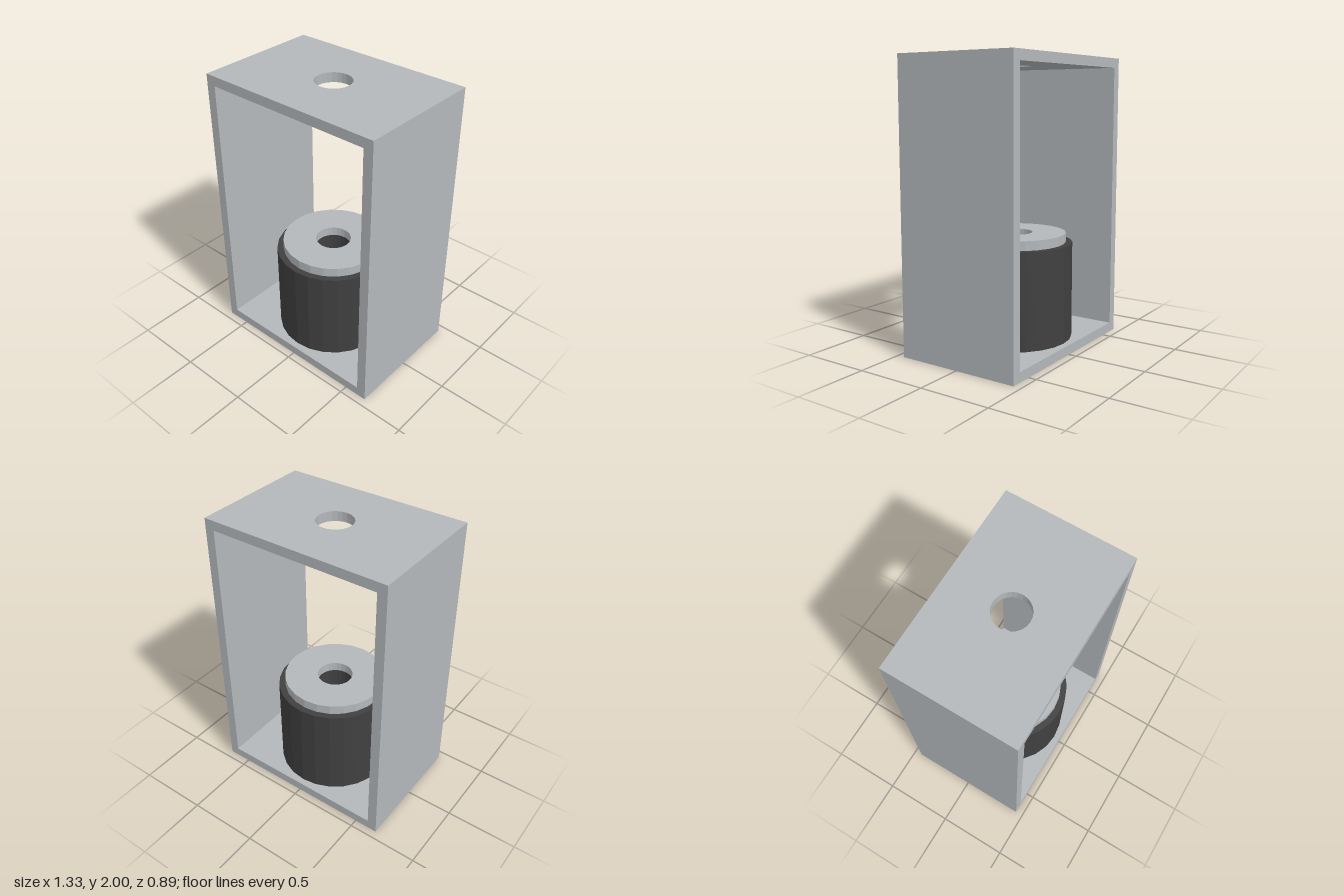
import * as THREE from 'three';

const W = 0.667, D = 0.445, H = 2, T = 0.067; // half width, half depth, height, wall
const BORE = 0.123, SIDES = 24;

export function createModel() {
  const group = new THREE.Group();
  const lightGrey = new THREE.MeshStandardMaterial({ color: 0xb4b8bb, flatShading: true });
  lightGrey.name = 'light grey';
  const darkGrey = new THREE.MeshStandardMaterial({ color: 0x404040, flatShading: true });
  darkGrey.name = 'dark grey';

  const add = (name, geometry, material, x = 0, y = 0) => {
    const mesh = new THREE.Mesh(geometry, material);
    mesh.name = name;
    mesh.position.set(x, y, 0);
    group.add(mesh);
  };

  // Horizontal plate with a round hole, rising from y = 0
  const plate = (holeRadius) => {
    const shape = new THREE.Shape([
      new THREE.Vector2(-W, -D), new THREE.Vector2(W, -D),
      new THREE.Vector2(W, D), new THREE.Vector2(-W, D),
    ]);
    shape.holes.push(new THREE.Path().absarc(0, 0, holeRadius, 0, Math.PI * 2, true));
    return new THREE.ExtrudeGeometry(shape, { depth: T, bevelEnabled: false, curveSegments: SIDES / 2 })
      .rotateX(-Math.PI / 2);
  };

  // Faceted ring with a central bore
  const ring = (radius, y0, y1) => new THREE.LatheGeometry(
    [[BORE, y0], [radius, y0], [radius, y1], [BORE, y1], [BORE, y0]]
      .map(([r, y]) => new THREE.Vector2(r, y)), SIDES);

  // Open rectangular frame
  add('bottomPlate', plate(0.237), lightGrey);
  add('topPlate', plate(BORE), lightGrey, 0, H - T);
  for (const [name, side] of [['leftWall', 1], ['rightWall', -1]]) {
    add(name, new THREE.BoxGeometry(T, H - 2 * T, 2 * D), lightGrey, side * (W - T / 2), H / 2);
  }

  // Bored cylinder with its cap disc
  add('cylinderBody', ring(0.4, T, 0.735), darkGrey);
  add('capDisc', ring(0.355, 0.735, 0.8), lightGrey);

  return group;
}
